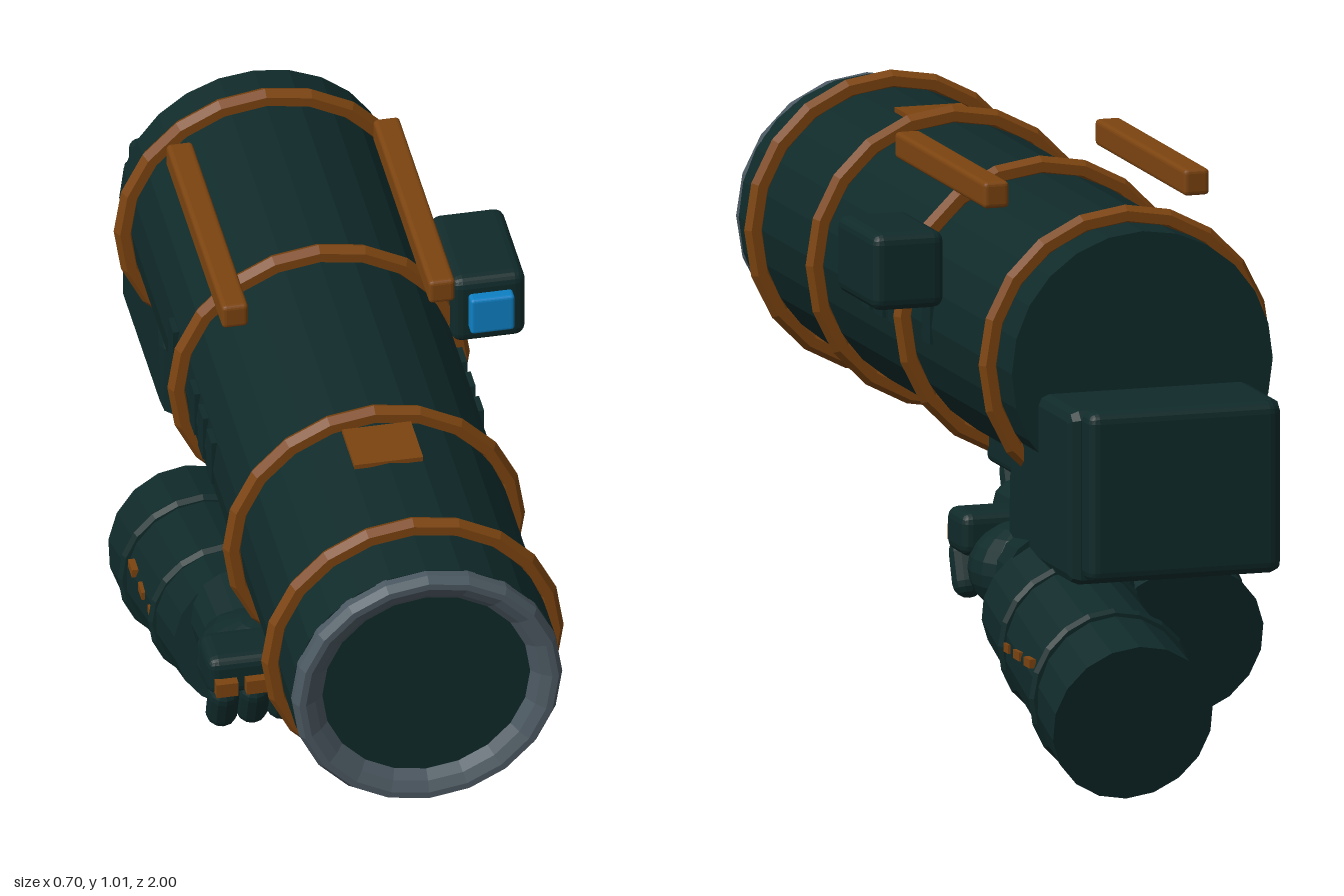
import * as THREE from 'three';
import { RoundedBoxGeometry } from 'three/addons/geometries/RoundedBoxGeometry.js';

const paint = (name, color) => {
  const m = new THREE.MeshStandardMaterial({ color, flatShading: true });
  m.name = name;
  return m;
};

export function createModel() {
  const dark = paint('darkTeal', 0x102a2a);
  const orange = paint('burntOrange', 0x7c4410);
  const grey = paint('steelGrey', 0x4b5861);
  const blue = paint('screenBlue', 0x0e80c4);
  const model = new THREE.Group();
  model.name = 'shoulderLauncher';

  const add = (parent, name, geo, mat, x = 0, y = 0, z = 0) => {
    const mesh = new THREE.Mesh(geo, mat);
    mesh.name = name;
    mesh.position.set(x, y, z);
    parent.add(mesh);
    return mesh;
  };
  const rbox = (w, h, d, r = 0.015) => new RoundedBoxGeometry(w, h, d, 2, r);
  // Side profile of [z, y] points, given a bevelled width along x
  const slab = (points, width, bevel = 0.012) => {
    const shape = new THREE.Shape(points.map(p => new THREE.Vector2(p[0], p[1])));
    const geo = new THREE.ExtrudeGeometry(shape, {
      depth: width - 2 * bevel, bevelThickness: bevel, bevelSize: bevel,
      bevelOffset: -bevel, bevelSegments: 2,
    });
    geo.translate(0, 0, -(width - 2 * bevel) / 2);
    return geo.rotateY(-Math.PI / 2);
  };

  // Barrel, with its axis along z
  const CX = -0.025, CY = 0.715, R = 0.245;
  const barrel = new THREE.Group();
  barrel.name = 'barrel';
  barrel.position.set(CX, CY, 0);
  model.add(barrel);
  add(barrel, 'tube', new THREE.CylinderGeometry(R, R, 1.535, 24).rotateX(Math.PI / 2), dark, 0, 0, 0.2025);
  const lip = [[R, 0.968], [R, 0.985], [0.236, 1], [0.224, 1], [0.205, 0.99], [0.187, 0.972]];
  add(barrel, 'muzzleRim', new THREE.LatheGeometry(lip.map(p => new THREE.Vector2(...p)), 20)
    .rotateX(Math.PI / 2), grey).material.side = THREE.DoubleSide;
  add(barrel, 'muzzleBore', new THREE.CircleGeometry(0.195, 20), dark, 0, 0, 0.974);
  for (const z of [0.85, 0.505, 0.012, -0.467]) {
    add(barrel, 'barrelBand', new THREE.TorusGeometry(0.257, 0.018, 6, 20), orange, 0, 0, z);
  }
  for (const s of [-1, 1]) {
    for (const z of [0.25, 0.175, 0.1, -0.09]) {
      add(barrel, 'sideVent', new THREE.BoxGeometry(0.016, 0.09, 0.045), dark, s * 0.24, 0.015, z);
    }
  }

  // Top rails and painted top patch
  for (const x of [-0.213, 0.163]) {
    add(model, 'topRail', rbox(0.048, 0.048, 0.505, 0.008), orange, x, 0.989, -0.058);
  }
  add(model, 'topPatch', new THREE.BoxGeometry(0.125, 0.009, 0.11), orange, CX, 0.96, 0.585);

  // Sight box with screen
  add(model, 'sightBox', rbox(0.135, 0.14, 0.215, 0.02), dark, 0.278, 0.83, -0.057);
  add(model, 'sightScreen', rbox(0.08, 0.075, 0.03, 0.006), blue, 0.28, 0.832, 0.057);

  // Shoulder stock, back plate and underside
  add(model, 'stock', slab([[-0.38, 0.36], [-0.385, 0.5], [-0.41, 0.57], [-0.56, 0.675],
    [-0.73, 0.675], [-0.745, 0.66], [-0.745, 0.37], [-0.73, 0.36]], 0.4, 0.02), dark, -0.03);
  add(model, 'backPlate', rbox(0.36, 0.31, 0.06, 0.02), dark, -0.03, 0.525, -0.763);
  add(model, 'underBeam', rbox(0.2, 0.08, 0.42), dark, CX, 0.48, -0.19);

  // Grip and foregrip between the arms
  add(model, 'grip', slab([[-0.22, 0.45], [-0.25, 0.17], [-0.27, 0.15], [-0.41, 0.14],
    [-0.43, 0.2], [-0.4, 0.45]], 0.115), dark, -0.005);
  add(model, 'foregrip', rbox(0.042, 0.165, 0.055, 0.01), dark, -0.024, 0.322, -0.168);
  add(model, 'foregripCap', new THREE.BoxGeometry(0.026, 0.008, 0.03), orange, -0.024, 0.406, -0.168);

  // Armoured forearm with fist; s is the outward side along x
  const makeArm = (name, x, z0, s) => {
    const arm = new THREE.Group();
    arm.name = name;
    arm.position.set(x, 0, z0);
    model.add(arm);
    const front = new THREE.Vector3(0, 0.277, 0.2), back = new THREE.Vector3(0, 0.15, -0.273);
    const axis = front.clone().sub(back), len = axis.length();
    const fore = add(arm, 'forearm', new THREE.CylinderGeometry(0.126, 0.15, len, 18), dark);
    fore.position.copy(front).add(back).multiplyScalar(0.5);
    fore.quaternion.setFromUnitVectors(new THREE.Vector3(0, 1, 0), axis.normalize());

    // Cuffs
    for (const [z, y, r] of [[0.055, 0.237, 0.132], [-0.155, 0.182, 0.144]]) {
      const cuff = add(arm, 'cuff', new THREE.TorusGeometry(r, 0.012, 6, 20), dark, 0, y, z);
      cuff.rotation.x = -0.06;
    }
    // Outer lights
    for (const z of [0.035, -0.035, -0.105]) {
      add(arm, 'armLight', new THREE.BoxGeometry(0.012, 0.016, 0.034), orange,
        s * (0.131 - (z - 0.035) * 0.05), 0.237, z);
    }

    // Fist
    add(arm, 'wrist', new THREE.CylinderGeometry(0.082, 0.095, 0.12, 16).rotateX(Math.PI / 2), dark, 0, 0.32, 0.23);
    const palm = add(arm, 'palm', new THREE.SphereGeometry(1, 18, 12), dark, 0, 0.322, 0.315);
    palm.scale.set(0.108, 0.088, 0.115);
    add(arm, 'knuckleGuard', rbox(0.226, 0.08, 0.1, 0.02), dark, 0, 0.38, 0.395);
    for (let i = 0; i < 4; i++) {
      const fx = -0.082 + i * 0.0547;
      const finger = add(arm, 'finger', new THREE.CapsuleGeometry(0.029, 0.055, 4, 12), dark, fx, 0.31, 0.418);
      finger.rotation.x = 0.35;
      add(arm, 'knucklePlate', new THREE.BoxGeometry(0.04, 0.028, 0.04), orange, fx, 0.367, 0.443);
    }
    const thumb = add(arm, 'thumb', new THREE.CapsuleGeometry(0.046, 0.08, 4, 12), dark, -s * 0.1, 0.29, 0.315);
    thumb.rotation.set(Math.PI / 2, 0, 0);
  };
  makeArm('rightArm', -0.2, 0, -1);
  makeArm('leftArm', 0.124, -0.685, 1);

  return model;
}
